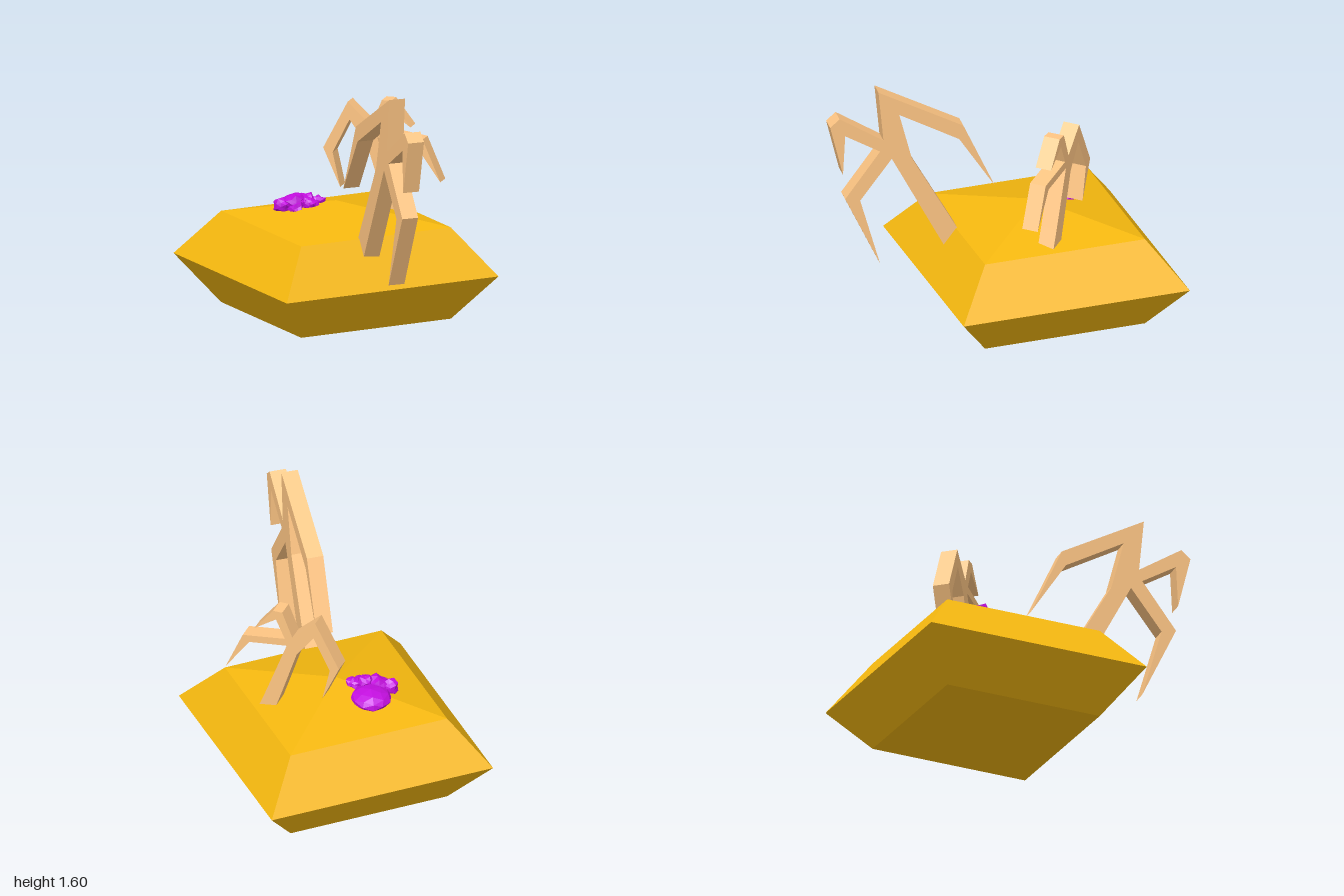
import * as THREE from 'three';

const mat = (color) => new THREE.MeshStandardMaterial({ color, flatShading: true });

// Outline of a claw: wrist, long finger, hooked finger, thumb
const CLAW = [
  [0.06, 0.36], [0.17, 0.29], [0.31, 0.567], [0.62, 1.16], // wrist and outer arm
  [0.81, 0.91], [0.69, 0.485], [0.9, 0.93], [0.69, 1.215], // thumb
  [0.9, 1.34], [0.913, 1.09], [0.99, 1.405], [0.934, 1.455], [0.67, 1.285], // hooked finger
  [0.7, 1.6], [0.19, 1.325], [0, 0.91], [0.215, 1.24], [0.575, 1.44], // long finger
  [0.5, 1.15], [0.236, 0.68], // inner arm
];

function makeClaw(name, points, material) {
  const shape = new THREE.Shape(points.map(([x, y]) => new THREE.Vector2(x, y)));
  const geo = new THREE.ExtrudeGeometry(shape, { depth: 0.1, bevelEnabled: false });
  geo.translate(0, 0, -0.05);
  const mesh = new THREE.Mesh(geo, material);
  mesh.name = name;
  return mesh;
}

// Faceted lump whose corners are pushed in and out by a position-based rule
function makeRock(name, detail, rough, scale, position, material) {
  const geo = new THREE.IcosahedronGeometry(1, detail);
  const p = geo.attributes.position;
  const v = new THREE.Vector3();
  for (let i = 0; i < p.count; i++) {
    v.fromBufferAttribute(p, i);
    v.multiplyScalar(1 + rough * Math.sin(7.3 * v.x + position[0] * 40) * Math.cos(6.1 * v.y + 8.7 * v.z));
    p.setXYZ(i, v.x, v.y, v.z);
  }
  geo.scale(...scale);
  geo.computeVertexNormals();
  const mesh = new THREE.Mesh(geo, material);
  mesh.name = name;
  mesh.position.set(...position);
  return mesh;
}

export function createModel() {
  const model = new THREE.Group();
  const gold = mat(0xf5b80f), skin = mat(0xffc684), purple = mat(0xc40fe0);

  // Flattened four-sided body
  const body = new THREE.Mesh(new THREE.SphereGeometry(0.99, 4, 4), gold);
  body.name = 'body';
  body.scale.y = 0.3875 / 0.99;
  body.position.set(0, 0.3875, -0.007);
  model.add(body);

  // Large claw, turned toward the front corner
  const large = makeClaw('largeClaw', CLAW, skin);
  large.position.set(0.156, 0, 0.2);
  large.rotation.y = -Math.atan2(0.774, 0.633);
  model.add(large);

  // Small claw: the same outline shrunk, tilted and skewed about its peak
  const smallOutline = CLAW.map(([x, y]) => {
    const u = x - 0.7, w = y - 1.6;
    return [0.016 + 0.569 * u - 0.511 * w, 1.325 + 0.346 * u + 0.396 * w];
  });
  const small = makeClaw('smallClaw', smallOutline, skin);
  small.position.z = -0.24;
  model.add(small);

  // Purple cluster: one rounded stone and a row of rough lumps in front
  const cluster = new THREE.Group();
  cluster.name = 'crystalCluster';
  cluster.add(makeRock('roundStone', 1, 0.05, [0.12, 0.06, 0.12], [-0.24, 0.725, -0.06], purple));
  const lumps = [
    [-0.3, 0.74, 0.07, 0.055], [-0.24, 0.757, 0.05, 0.06], [-0.17, 0.77, 0.02, 0.055],
    [-0.11, 0.76, -0.01, 0.042], [-0.22, 0.73, 0.075, 0.05], [-0.14, 0.75, 0.045, 0.045],
  ];
  for (const [x, y, z, r] of lumps) {
    cluster.add(makeRock('roughLump', 1, 0.28, [r, r * 0.8, r * 0.85], [x, y, z], purple));
  }
  model.add(cluster);
  return model;
}
